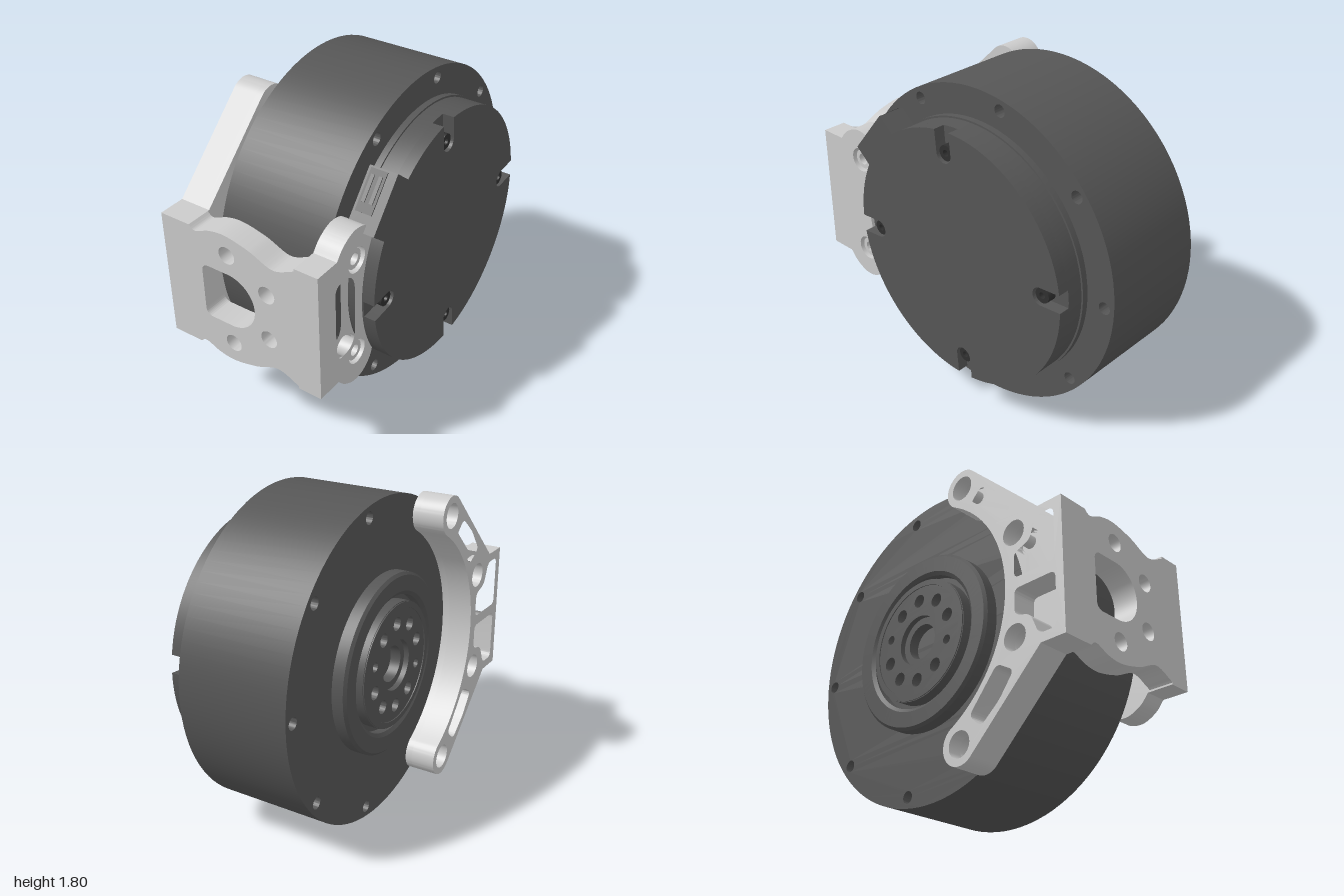
import * as THREE from 'three';
import { toCreasedNormals } from 'three/addons/utils/BufferGeometryUtils.js';

const mat = (name, color) => {
  const m = new THREE.MeshStandardMaterial({ color });
  m.name = name;
  return m;
};
const rad = THREE.MathUtils.degToRad;
const polar = (r, deg) => [r * Math.cos(rad(deg)), r * Math.sin(rad(deg))];
const V = ([x, y]) => new THREE.Vector2(x, y);

// Circle as an outline or a hole
function circle(r, x = 0, y = 0, Type = THREE.Shape) {
  const s = new Type();
  s.absarc(x, y, r, 0, Math.PI * 2, false);
  return s;
}
const hole = (r, x = 0, y = 0) => circle(r, x, y, THREE.Path);
const ring = (outer, inner, x = 0, y = 0) => {
  const s = circle(outer, x, y);
  s.holes.push(hole(inner, x, y));
  return s;
};

// Polygon path with rounded corners
function rounded(points, r, Type = THREE.Path) {
  const p = points.map(V), n = p.length, s = new Type();
  p.forEach((c, i) => {
    const toward = (q) => c.clone().add(q.clone().sub(c).setLength(Math.min(r, q.distanceTo(c) / 2)));
    const a = toward(p[(i + n - 1) % n]), b = toward(p[(i + 1) % n]);
    if (i === 0) s.moveTo(a.x, a.y); else s.lineTo(a.x, a.y);
    s.quadraticCurveTo(c.x, c.y, b.x, b.y);
  });
  s.closePath();
  return s;
}

function extrude(shape, depth, seg) {
  const g = new THREE.ExtrudeGeometry(shape, { depth, bevelEnabled: false, curveSegments: seg });
  return toCreasedNormals(g, 0.5);
}

export function createModel() {
  const dark = mat('dark housing', 0x565656);
  const light = mat('light aluminium', 0xcbcbcb);
  const black = mat('black fittings', 0x303030);

  const root = new THREE.Group();
  root.name = 'motorWithBracket';
  const motor = new THREE.Group();
  motor.name = 'motor';
  const bracket = new THREE.Group();
  bracket.name = 'bracket';
  root.add(motor, bracket);
  // The motor axis is the origin of both groups
  [motor, bracket].forEach((g) => g.position.set(0, 0.9, -0.1));

  // Extrudes a side profile (u = -z, v = y) along x
  function slab(parent, name, shape, x0, x1, material, seg = 24) {
    const g = extrude(shape, x1 - x0, seg);
    g.rotateY(Math.PI / 2);
    g.translate(x0, 0, 0);
    const mesh = new THREE.Mesh(g, material);
    mesh.name = name;
    parent.add(mesh);
  }

  // Main drum with nine through holes
  const drum = circle(0.9);
  for (let i = 0; i < 9; i++) drum.holes.push(hole(0.034, ...polar(0.84, i * 40)));
  slab(motor, 'drum', drum, -0.33, 0.31, dark, 48);

  // Rear cover, its top layer cut by four radial notches
  slab(motor, 'coverBase', circle(0.735), 0.31, 0.345, dark, 48);
  slab(motor, 'coverLower', circle(0.725), 0.345, 0.44, dark, 48);
  const cover = new THREE.Shape();
  const half = Math.asin(0.05 / 0.725);
  for (let k = 0; k < 4; k++) {
    const a = rad(5 + 90 * k);
    const [cx, cy] = polar(0.6, 5 + 90 * k);
    cover.absarc(cx, cy, 0.05, a - Math.PI / 2, a - 1.5 * Math.PI, true);
    cover.absarc(0, 0, 0.725, a + half, a + Math.PI / 2 - half, false);
    slab(motor, 'coverScrew', ring(0.043, 0.018, cx, cy), 0.44, 0.49, black, 10);
    slab(motor, 'coverScrewSocket', circle(0.018, cx, cy), 0.44, 0.465, black, 3);
  }
  cover.closePath();
  slab(motor, 'coverTop', cover, 0.44, 0.505, dark, 24);

  // Connector housing on the cover's edge: r is outward, t along the edge
  const [nu, nv] = polar(1, 140);
  const block = (r0, r1, t0, t1) => new THREE.Shape(
    [[r0, t0], [r1, t0], [r1, t1], [r0, t1]].map(([r, t]) => V([nu * r - nv * t, nv * r + nu * t])));
  slab(motor, 'connectorHousing', block(0.62, 0.827, -0.16, 0.16), 0.345, 0.505, dark);
  slab(motor, 'connectorSocket', block(0.82, 0.832, -0.15, 0.07), 0.36, 0.455, black);
  for (const x of [0.375, 0.42]) {
    slab(motor, 'connectorContact', block(0.825, 0.838, -0.12, 0.02), x, x + 0.02, dark);
  }

  // Output side: chamfered flange with a groove around the rotor
  const flange = new THREE.LatheGeometry(
    [[0.5, 0.33], [0.5, 0.395], [0.485, 0.41], [0.4, 0.41], [0.38, 0.395], [0.38, 0.35], [0.34, 0.35]].map(V), 96);
  flange.rotateZ(Math.PI / 2);
  const flangeMesh = new THREE.Mesh(toCreasedNormals(flange, 0.4), dark);
  flangeMesh.name = 'outputFlange';
  motor.add(flangeMesh);
  const rotor = ring(0.35, 0.14);
  for (let i = 0; i < 10; i++) {
    rotor.holes.push(hole(i % 5 === 0 ? 0.026 : 0.038, ...polar(0.235, i * 36 + 18)));
  }
  slab(motor, 'outputRotor', rotor, -0.42, -0.34, dark, 24);
  slab(motor, 'rotorRim', ring(0.345, 0.315), -0.425, -0.42, dark, 40);
  slab(motor, 'rotorHub', ring(0.14, 0.1), -0.39, -0.33, dark, 24);

  // Wide bracket plate on the output side
  const arm = () => {
    const s = new THREE.Shape();
    s.moveTo(-1.1, 0.37);
    s.lineTo(-0.95, 0.37);
    s.absarc(-0.42, 0.727, 0.11, 0.75 * Math.PI, -Math.PI / 3, true);
    s.absarc(0, 0, 0.73, 2 * Math.PI / 3, 4 * Math.PI / 3, false);
    s.absarc(-0.42, -0.727, 0.11, Math.PI / 3, -0.75 * Math.PI, true);
    s.lineTo(-0.95, -0.37);
    s.lineTo(-1.1, -0.37);
    s.closePath();
    return s;
  };
  const armFloor = arm(), armFace = arm();
  const screwAngles = [120, 160, 200, 240];
  for (const a of screwAngles) {
    armFloor.holes.push(hole(0.034, ...polar(0.84, a)));
    armFace.holes.push(hole(0.07, ...polar(0.84, a)));
    slab(bracket, 'armScrew', ring(0.056, 0.034, ...polar(0.84, a)), -0.38, -0.45, light, 12);
  }
  const armPocket = [polar(0.775, 129), polar(0.775, 150), polar(0.9, 150), polar(0.895, 140), polar(0.88, 130)];
  const frontPocket = [[-0.79, 0.03], [-1.05, 0.03], [-1.05, 0.32], [-0.94, 0.32], [-0.89, 0.2], [-0.79, 0.17]];
  for (const side of [1, -1]) {
    for (const pocket of [armPocket, frontPocket]) {
      armFace.holes.push(rounded(pocket.map(([u, v]) => [u, v * side]), 0.035));
    }
  }
  slab(bracket, 'armFloor', armFloor, -0.37, -0.33, light, 20);
  slab(bracket, 'armFace', armFace, -0.51, -0.37, light, 20);

  // Short bracket plate on the cover side
  const ear = () => {
    const bump = [[-0.95, 0.37], [-0.9, 0.425], [-0.82, 0.464], [-0.74, 0.458], [-0.68, 0.415], polar(0.745, 151)];
    const s = new THREE.Shape();
    s.moveTo(-1.1, 0.37);
    s.lineTo(-0.95, 0.37);
    s.splineThru(bump.slice(1).map(V));
    s.absarc(0, 0, 0.745, rad(151), rad(209), false);
    s.splineThru(bump.slice(0, -1).reverse().map(([u, v]) => V([u, -v])));
    s.lineTo(-1.1, -0.37);
    s.closePath();
    const slot = [[-0.966, 0.23], [-0.85, 0.23], [-0.806, 0.17], [-0.806, -0.17], [-0.85, -0.23], [-0.966, -0.23]];
    s.holes.push(rounded(slot, 0.05));
    return s;
  };
  const earFloor = ear(), earFace = ear();
  for (const a of [160, 200]) {
    const p = polar(0.84, a);
    earFace.holes.push(hole(0.07, ...p));
    slab(bracket, 'earScrew', ring(0.056, 0.032, ...p), 0.35, 0.43, light, 12);
  }
  slab(bracket, 'earFloor', earFloor, 0.31, 0.36, light, 16);
  slab(bracket, 'earFace', earFace, 0.36, 0.445, light, 16);

  // Front plate with wavy edges, a D-shaped window and four holes
  const wave = [[-0.33, 0.37], [-0.29, 0.347], [-0.2, 0.382], [-0.1, 0.392], [0.04, 0.362], [0.18, 0.308], [0.29, 0.346], [0.31, 0.36]];
  const front = new THREE.Shape();
  front.moveTo(...wave[0]);
  front.splineThru(wave.slice(1).map(V));
  front.lineTo(0.31, -0.36);
  front.splineThru(wave.slice(0, -1).reverse().map(([x, y]) => V([x, -y])));
  front.closePath();
  const win = new THREE.Path();
  win.absarc(-0.105, 0, 0.16, -Math.PI / 2, Math.PI / 2, false);
  win.absarc(-0.23, 0.12, 0.04, Math.PI / 2, Math.PI, false);
  win.absarc(-0.23, -0.12, 0.04, Math.PI, 1.5 * Math.PI, false);
  win.closePath();
  front.holes.push(win);
  for (const s of [1, -1]) front.holes.push(hole(0.049, -0.1, 0.275 * s), hole(0.049, 0.135, 0.138 * s));
  const frontMesh = new THREE.Mesh(extrude(front, 0.14, 16), light);
  frontMesh.name = 'frontPlate';
  frontMesh.position.z = 0.96;
  bracket.add(frontMesh);

  return root;
}
